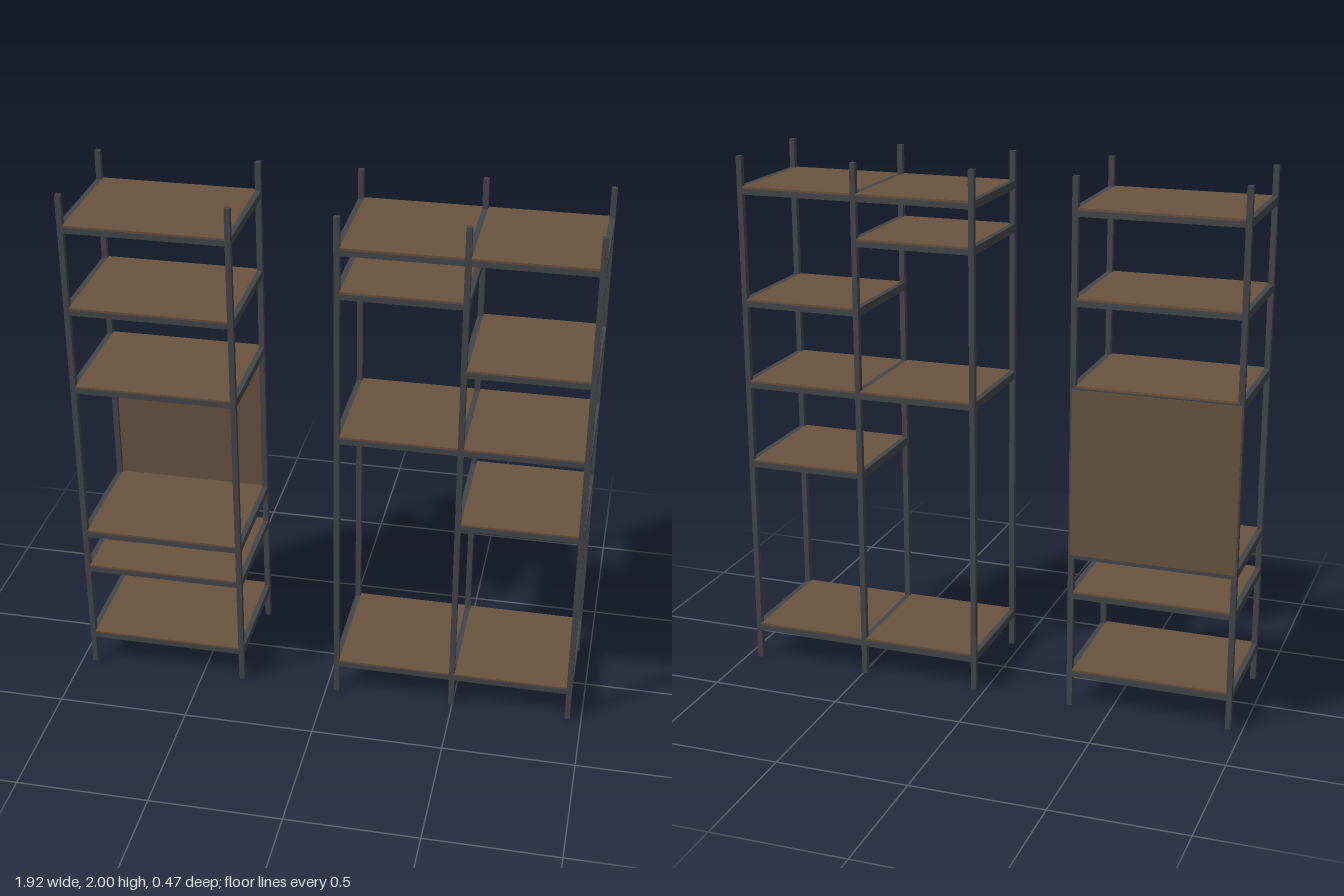
import * as THREE from 'three';

const POST = 0.021;      // square post width
const POST_Z = 0.223;    // post centre depth
const RAIL_H = 0.03;     // shelf frame height
const BOARD_H = 0.008;   // wooden board thickness

export function createModel() {
  const root = new THREE.Group();
  root.name = 'shelvingUnits';
  const metal = new THREE.MeshStandardMaterial({ color: 0x45464a });
  metal.name = 'dark metal';
  const wood = new THREE.MeshStandardMaterial({ color: 0x6a5440 });
  wood.name = 'brown wood';

  const box = (parent, name, material, w, h, d, x, y, z) => {
    const mesh = new THREE.Mesh(new THREE.BoxGeometry(w, h, d), material);
    mesh.name = name;
    mesh.position.set(x, y, z);
    parent.add(mesh);
  };

  // Front and back uprights at one x position
  const addPosts = (parent, x) => {
    for (const z of [POST_Z, -POST_Z]) {
      box(parent, z > 0 ? 'frontPost' : 'backPost', metal, POST, 2, POST, x, 1, z);
    }
  };

  // Metal frame with a wooden board between two pairs of posts
  const addShelf = (parent, x0, x1, y) => {
    const shelf = new THREE.Group();
    shelf.name = 'shelf';
    const cx = (x0 + x1) / 2;
    const w = x1 - x0 - POST;
    const lowH = RAIL_H - BOARD_H;
    for (const x of [x0, x1]) {
      box(shelf, 'sideRail', metal, POST, RAIL_H, 2 * POST_Z - POST, x, y, 0);
    }
    for (const z of [POST_Z, -POST_Z]) {
      box(shelf, 'longRail', metal, w, lowH, POST, cx, y - BOARD_H / 2, z);
    }
    box(shelf, 'board', wood, w, BOARD_H, 2 * POST_Z + POST, cx, y + lowH / 2, 0);
    parent.add(shelf);
  };

  // Narrow single-bay unit
  const narrow = new THREE.Group();
  narrow.name = 'narrowUnit';
  const [n0, n1] = [-0.948, -0.341];
  [n0, n1].forEach((x) => addPosts(narrow, x));
  for (const y of [0.133, 0.448, 0.607, 1.236, 1.555, 1.874]) addShelf(narrow, n0, n1, y);
  box(narrow, 'backPanel', wood, n1 - n0 + 0.008, 0.63, 0.008, (n0 + n1) / 2, 0.922, -0.231);
  root.add(narrow);

  // Wide two-bay unit with staggered shelves
  const wide = new THREE.Group();
  wide.name = 'wideUnit';
  const [w0, w1, w2] = [0.042, 0.495, 0.947];
  [w0, w1, w2].forEach((x) => addPosts(wide, x));
  for (const y of [0.133, 1.133, 1.709, 1.874]) addShelf(wide, w0, w1, y);
  for (const y of [0.133, 0.816, 1.133, 1.449, 1.874]) addShelf(wide, w1, w2, y);
  root.add(wide);

  return root;
}
